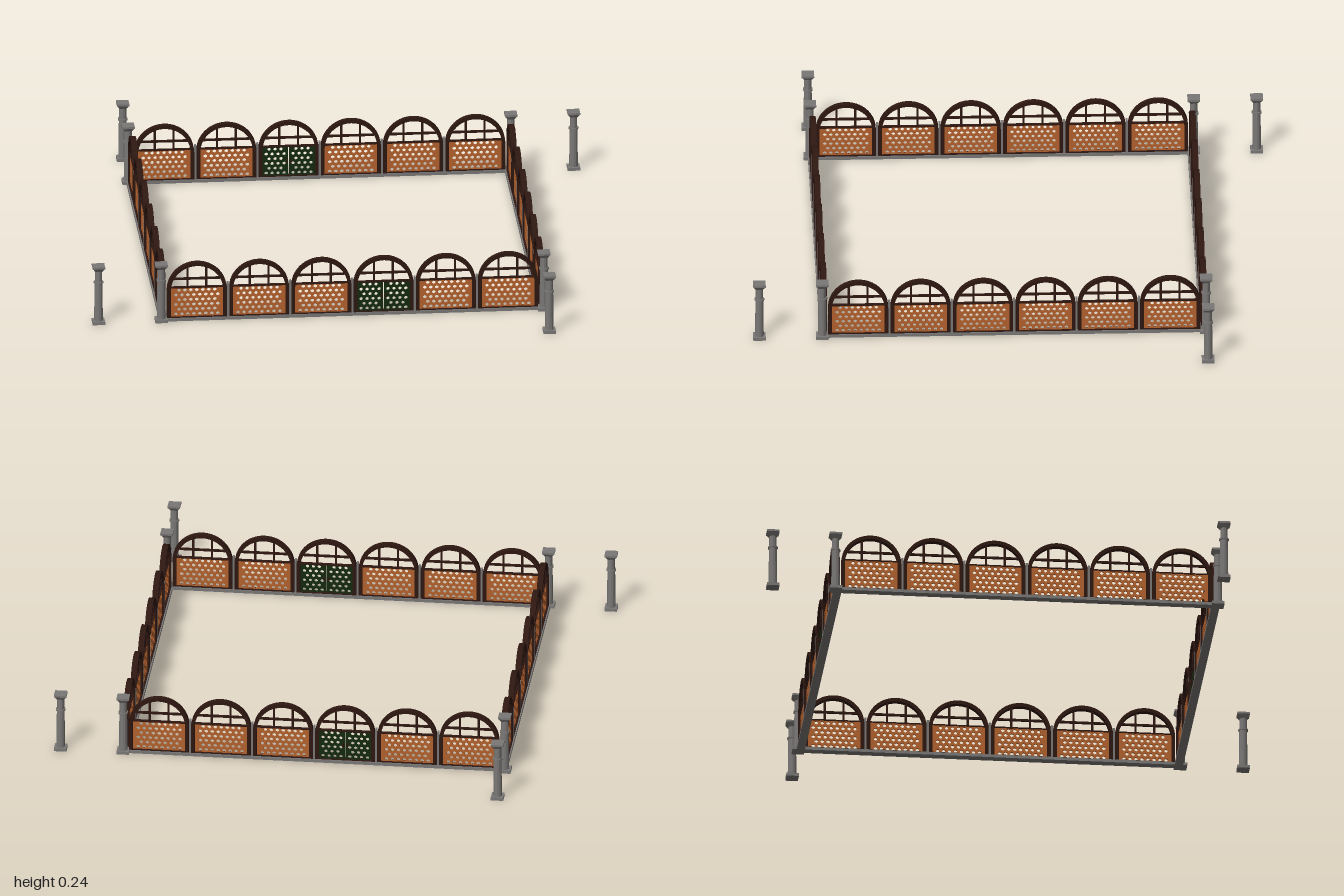
import * as THREE from 'three';

const stone = new THREE.MeshStandardMaterial({ color: 0x7a7876, flatShading: true });
const timber = new THREE.MeshStandardMaterial({ color: 0x2e1711 });
const lattice = new THREE.MeshStandardMaterial({ color: 0xb5622e });
const gateGreen = new THREE.MeshStandardMaterial({ color: 0x14290f });

const HALF = 0.735;      // corner post position
const LINE = 0.727;      // fence line position
const PITCH = 0.239;     // bay spacing
const BASE = 0.012;      // plinth height
const PANEL_TOP = 0.133;

function add(parent, name, geometry, material, x = 0, y = 0, z = 0) {
  const mesh = new THREE.Mesh(geometry, material);
  mesh.name = name;
  mesh.position.set(x, y, z);
  parent.add(mesh);
  return mesh;
}

function box(parent, name, material, w, h, d, x, y, z) {
  return add(parent, name, new THREE.BoxGeometry(w, h, d), material, x, y, z);
}

// square tapered block; r values are half widths
function squareBlock(top, bottom, h) {
  const g = new THREE.CylinderGeometry(top * Math.SQRT2, bottom * Math.SQRT2, h, 4);
  return g.rotateY(Math.PI / 4);
}

function extrudeCentred(shape, depth, curveSegments = 16) {
  const g = new THREE.ExtrudeGeometry(shape, { depth, bevelEnabled: false, curveSegments });
  return g.translate(0, 0, -depth / 2);
}

// upright with a rounded head, used for the outside and inside of the frame
function archPath(path, r, bottom, spring) {
  path.moveTo(-r, bottom);
  path.lineTo(r, bottom);
  path.lineTo(r, spring);
  path.absarc(0, spring, r, 0, Math.PI, false);
  path.lineTo(-r, bottom);
  return path;
}

// pierced sheet with staggered hexagonal holes
function piercedPanel(w, h) {
  const shape = new THREE.Shape();
  shape.moveTo(-w / 2, 0);
  shape.lineTo(w / 2, 0);
  shape.lineTo(w / 2, h);
  shape.lineTo(-w / 2, h);
  const dx = 0.023, dy = 0.0195, r = 0.0075;
  const cols = Math.floor((w - 0.006) / dx);
  for (let row = 0; row < 6; row++) {
    const odd = row % 2;
    for (let c = 0; c < cols - odd; c++) {
      const x = (c - (cols - odd - 1) / 2) * dx;
      const y = h / 2 + (row - 2.5) * dy;
      const pts = [];
      for (let k = 0; k < 6; k++) {
        const a = -k * Math.PI / 3 + Math.PI / 6;
        pts.push(new THREE.Vector2(x + r * Math.cos(a), y + r * Math.sin(a)));
      }
      shape.holes.push(new THREE.Path(pts));
    }
  }
  return extrudeCentred(shape, 0.007);
}

const archShape = archPath(new THREE.Shape(), 0.115, BASE, 0.121);
archShape.holes.push(archPath(new THREE.Path(), 0.101, BASE + 0.003, 0.121));
const archGeometry = extrudeCentred(archShape, 0.022);
const panelGeometry = piercedPanel(0.206, PANEL_TOP - BASE);
const leafGeometry = piercedPanel(0.1, PANEL_TOP - BASE);

function makeBay(isGate) {
  const bay = new THREE.Group();
  bay.name = isGate ? 'gateBay' : 'fenceBay';
  add(bay, 'archFrame', archGeometry, timber);
  // grille in the arched head
  box(bay, 'grilleRail', timber, 0.178, 0.008, 0.008, 0, 0.168, 0);
  for (const s of [-1, 1]) {
    box(bay, 'grilleBar', timber, 0.008, 0.092, 0.008, s * 0.036, 0.175, 0);
  }
  box(bay, 'topRail', timber, 0.206, 0.005, 0.012, 0, PANEL_TOP, 0);
  if (!isGate) {
    add(bay, 'latticePanel', panelGeometry, lattice, 0, BASE, 0);
    return bay;
  }
  // double gate with a handle on each face of each leaf
  for (const s of [-1, 1]) {
    add(bay, 'gateLeaf', leafGeometry, gateGreen, s * 0.0515, BASE, 0);
    for (const f of [-1, 1]) {
      box(bay, 'gateHandle', timber, 0.005, 0.014, 0.01, s * 0.008, 0.075, f * 0.009);
    }
  }
  return bay;
}

// one run of six bays facing +z; gate is the gate bay index or -1
function makeSide(gate) {
  const side = new THREE.Group();
  side.name = 'fenceSide';
  box(side, 'plinth', stone, 2 * LINE, BASE, 0.032, 0, BASE / 2, LINE);
  for (let i = 0; i < 6; i++) {
    const bay = makeBay(i === gate);
    bay.position.set((i - 2.5) * PITCH, 0, LINE);
    side.add(bay);
  }
  for (let i = -2; i <= 2; i++) {
    box(side, 'dividerPole', stone, 0.008, 0.135, 0.024, i * PITCH, BASE + 0.0675, LINE);
  }
  return side;
}

// column with square foot, collar, slim neck and flared cap
function makePost(name, x, z) {
  const post = new THREE.Group();
  post.name = name;
  post.position.set(x, 0, z);
  add(post, 'foot', squareBlock(0.024, 0.024, BASE), stone, 0, BASE / 2, 0);
  add(post, 'shaft', new THREE.CylinderGeometry(0.015, 0.017, 0.154, 12), stone, 0, 0.089, 0);
  add(post, 'collar', new THREE.CylinderGeometry(0.019, 0.019, 0.007, 12), stone, 0, 0.168, 0);
  add(post, 'neck', new THREE.CylinderGeometry(0.014, 0.014, 0.05, 12), stone, 0, 0.195, 0);
  add(post, 'capFlare', squareBlock(0.022, 0.013, 0.014), stone, 0, 0.221, 0);
  add(post, 'capSlab', squareBlock(0.024, 0.024, 0.008), stone, 0, 0.232, 0);
  return post;
}

export function createModel() {
  const model = new THREE.Group();
  model.name = 'fencedEnclosure';
  const outer = 0.976;
  for (let i = 0; i < 4; i++) {
    const quarter = new THREE.Group();
    quarter.name = 'enclosureQuarter';
    // gates on the front and back runs
    quarter.add(makeSide(i % 2 === 0 ? 3 : -1));
    quarter.add(makePost('cornerPost', HALF, HALF));
    quarter.add(makePost('outerPost', HALF, outer));
    quarter.rotation.y = i * Math.PI / 2;
    model.add(quarter);
  }
  return model;
}
